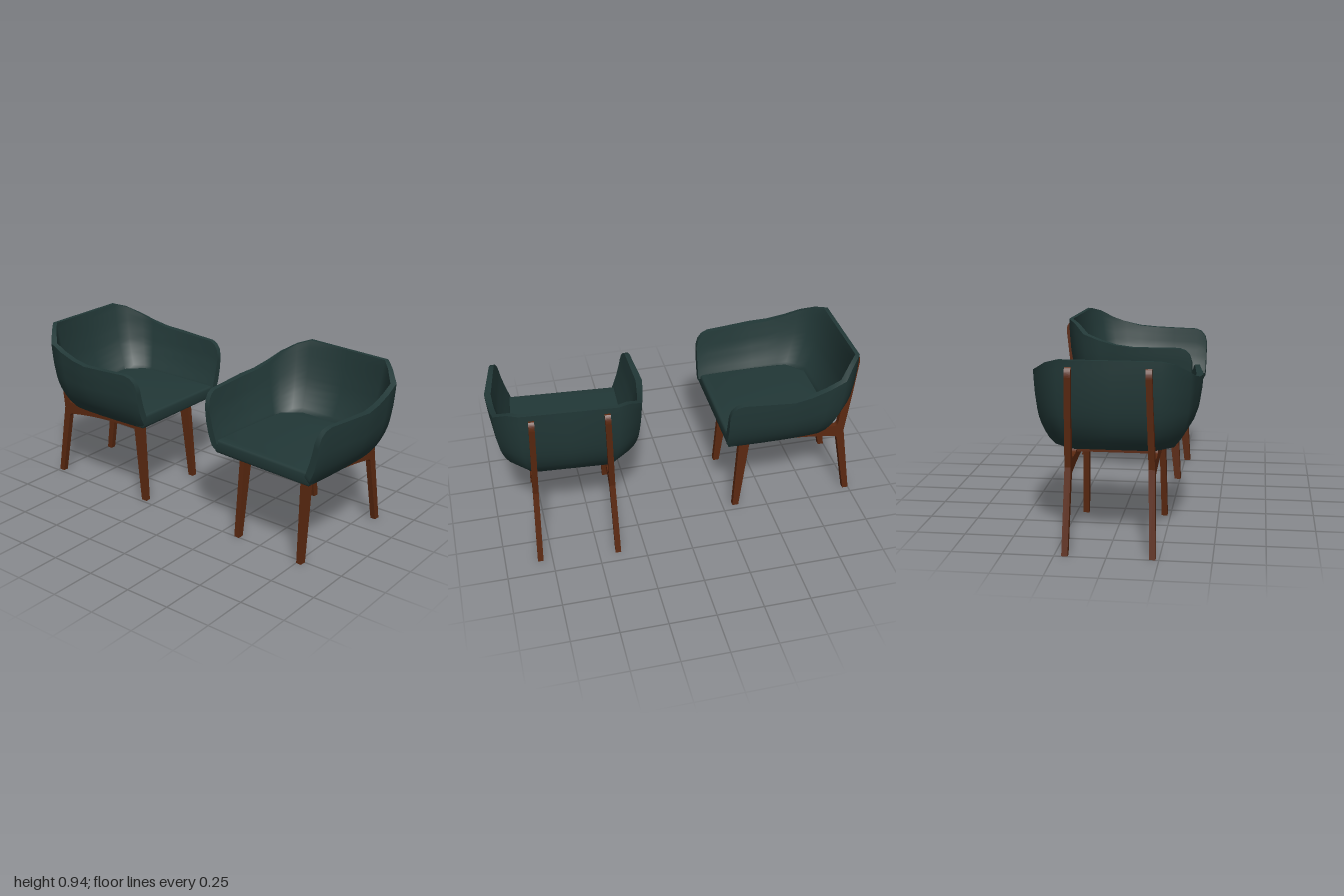
import * as THREE from 'three';
import { toCreasedNormals } from 'three/addons/utils/BufferGeometryUtils.js';

// Half of the shell from back centre to arm tip:
// [rim x, rim z, foot x, foot z, rim height, bottom height]
const HALF = [
  [0, -0.362, 0, -0.235, 0.936, 0.485],
  [0.245, -0.362, 0.2, -0.235, 0.936, 0.485],
  [0.305, -0.312, 0.24, -0.195, 0.915, 0.485],
  [0.375, -0.25, 0.285, -0.15, 0.868, 0.485],
  [0.392, -0.16, 0.29, -0.1, 0.838, 0.485],
  [0.407, -0.06, 0.293, -0.04, 0.815, 0.485],
  [0.42, 0.04, 0.295, 0.04, 0.806, 0.485],
  [0.403, 0.17, 0.295, 0.17, 0.805, 0.485],
  [0.386, 0.3, 0.292, 0.3, 0.805, 0.485],
  [0.38, 0.335, 0.29, 0.335, 0.792, 0.487],
  [0.375, 0.359, 0.289, 0.359, 0.765, 0.505],
  [0.372, 0.37, 0.288, 0.37, 0.725, 0.525],
];
// How far the wall has moved from rim line (0) to foot line (1) at each height
const OUTER = [[0.485, 0.97], [0.52, 0.7], [0.58, 0.4], [0.65, 0.2], [0.75, 0.08], [0.85, 0.02], [0.94, 0]];
const INNER = [[0.54, 1.06], [0.62, 0.74], [0.7, 0.5], [0.8, 0.33], [0.94, 0.17]];

function lookup(table, y) {
  if (y <= table[0][0]) return table[0][1];
  for (let i = 1; i < table.length; i++) {
    const [y0, f0] = table[i - 1], [y1, f1] = table[i];
    if (y <= y1) return f0 + ((f1 - f0) * (y - y0)) / (y1 - y0);
  }
  return table[table.length - 1][1];
}

// Wrap-around back and arms, lofted through closed wall sections
function shellGeometry() {
  const stations = [
    ...HALF.slice(1).reverse().map(([a, b, c, ...rest]) => [-a, b, -c, ...rest]),
    ...HALF,
  ];
  const n = 10, ring = 2 * (n + 1);
  const pos = [], index = [];
  for (const [rx, rz, fx, fz, rim, bottom] of stations) {
    const put = (table, y) => {
      const f = lookup(table, y);
      pos.push(rx + (fx - rx) * f, y, rz + (fz - rz) * f);
    };
    for (let j = 0; j <= n; j++) put(OUTER, bottom + ((rim - bottom) * j) / n);
    for (let j = n; j >= 0; j--) put(INNER, 0.54 + ((rim - 0.54) * j) / n);
  }
  const last = (stations.length - 1) * ring;
  for (let s = 0; s < last; s += ring) {
    for (let j = 0; j < ring; j++) {
      const k = (j + 1) % ring;
      const a = s + j, c = s + k, b = a + ring, d = c + ring;
      index.push(a, c, b, b, c, d);
    }
  }
  // Front faces of the two arms
  for (let j = 0; j < n; j++) {
    const o = j, i = ring - 1 - j;
    index.push(o, i, i - 1, o, i - 1, o + 1);
    index.push(last + o, last + i - 1, last + i, last + o, last + o + 1, last + i - 1);
  }
  const g = new THREE.BufferGeometry();
  g.setAttribute('position', new THREE.Float32BufferAttribute(pos, 3));
  g.setIndex(index);
  return toCreasedNormals(g, 0.8);
}

// Seat pad with a softened edge
function seatGeometry() {
  const right = HALF.slice(1, 9).map((p) => [p[2], p[3]]);
  right.push([0.292, 0.347]);
  const outline = [...right, ...right.map(([x, z]) => [-x, z]).reverse()];
  const shape = new THREE.Shape(outline.map(([x, z]) => new THREE.Vector2(x, -z)));
  const g = new THREE.ExtrudeGeometry(shape, {
    depth: 0.046, bevelEnabled: true, bevelThickness: 0.014, bevelSize: 0.014, bevelOffset: -0.004, bevelSegments: 3,
  });
  g.rotateX(-Math.PI / 2).translate(0, 0.499, 0);
  return toCreasedNormals(g, 0.6);
}

// One side frame: rear leg and back post, curved rail and front leg in one piece
function frameGeometry() {
  const s = new THREE.Shape();
  s.moveTo(-0.4, 0);
  s.lineTo(-0.367, 0);
  s.lineTo(-0.3, 0.368);
  s.quadraticCurveTo(-0.297, 0.384, -0.28, 0.387);
  s.quadraticCurveTo(-0.05, 0.428, 0.21, 0.42);
  s.lineTo(0.26, 0);
  s.lineTo(0.294, 0);
  s.lineTo(0.265, 0.487);
  s.lineTo(-0.17, 0.487);
  s.quadraticCurveTo(-0.18, 0.455, -0.22, 0.455);
  s.lineTo(-0.285, 0.455);
  s.quadraticCurveTo(-0.302, 0.457, -0.302, 0.5);
  s.lineTo(-0.318, 0.62);
  s.lineTo(-0.34, 0.75);
  s.lineTo(-0.355, 0.905);
  s.lineTo(-0.372, 0.905);
  s.quadraticCurveTo(-0.388, 0.89, -0.388, 0.86);
  s.lineTo(-0.365, 0.65);
  s.lineTo(-0.336, 0.42);
  s.closePath();
  const g = new THREE.ExtrudeGeometry(s, { depth: 0.03, bevelEnabled: false, curveSegments: 8 });
  g.rotateY(-Math.PI / 2).translate(0.015, 0, 0);
  return g;
}

function createChair(fabric, wood) {
  const chair = new THREE.Group();
  const add = (name, geometry, material, x = 0, y = 0, z = 0) => {
    const mesh = new THREE.Mesh(geometry, material);
    mesh.name = name;
    mesh.position.set(x, y, z);
    chair.add(mesh);
    return mesh;
  };
  add('backAndArms', shellGeometry(), fabric);
  add('seatPad', seatGeometry(), fabric);
  // Side frames lean inward slightly
  for (const side of [-1, 1]) {
    const frame = add(side > 0 ? 'leftFrame' : 'rightFrame', frameGeometry(), wood, side * 0.209);
    frame.rotation.z = side * 0.024;
  }
  // Cross rails under the seat
  add('frontRail', new THREE.BoxGeometry(0.4, 0.032, 0.03), wood, 0, 0.466, 0.22);
  add('rearRail', new THREE.BoxGeometry(0.4, 0.032, 0.03), wood, 0, 0.466, -0.14);
  return chair;
}

export function createModel() {
  const fabric = new THREE.MeshStandardMaterial({ color: 0x223837 });
  fabric.name = 'dark green fabric';
  const wood = new THREE.MeshStandardMaterial({ color: 0x5a2810 });
  wood.name = 'brown wood';

  const model = new THREE.Group();
  model.name = 'armchairPair';
  const sideways = createChair(fabric, wood);
  sideways.name = 'rightArmchair';
  sideways.position.set(-0.6, 0, 0.01);
  sideways.rotation.y = Math.PI / 2;
  const forward = createChair(fabric, wood);
  forward.name = 'leftArmchair';
  forward.position.set(0.578, 0, -0.025);
  forward.rotation.y = -0.07;
  model.add(sideways, forward);
  return model;
}
